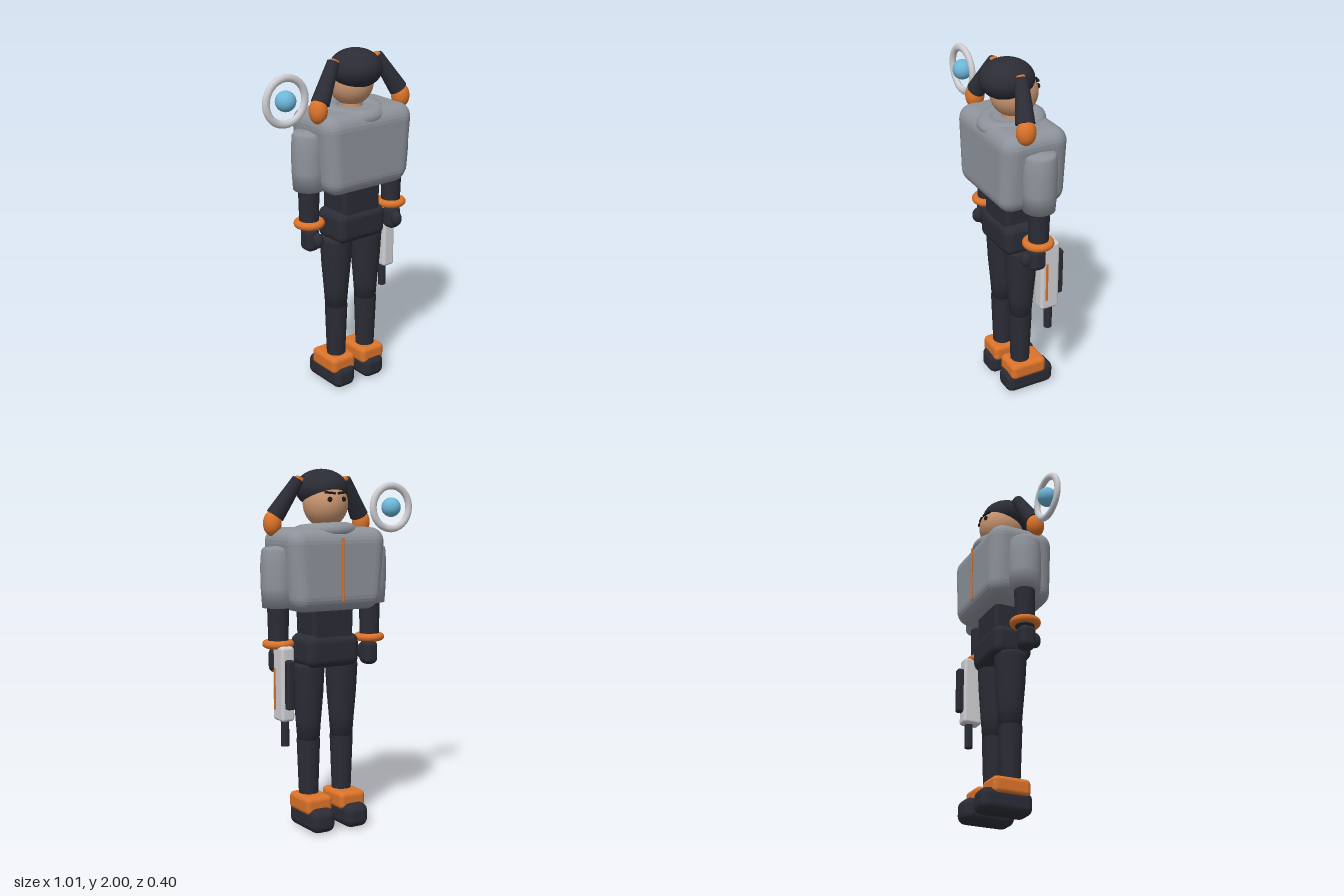
import * as THREE from 'three';
import { RoundedBoxGeometry } from 'three/addons/geometries/RoundedBoxGeometry.js';

const paint = (name, color) => {
  const m = new THREE.MeshStandardMaterial({ color });
  m.name = name;
  return m;
};

export function createModel() {
  const grey = paint('jacket grey', 0x8e939b);
  const dark = paint('dark cloth', 0x2b2c35);
  const orange = paint('orange', 0xdb732a);
  const skin = paint('skin', 0xc8946f);
  const white = paint('pale metal', 0xcfcfd3);
  const blue = paint('glow blue', 0x6cb6d9);
  const black = paint('face dark', 0x1a1a20);

  const model = new THREE.Group();
  model.name = 'figure';
  // the body stands off centre and faces -z
  const body = new THREE.Group();
  body.name = 'body';
  body.position.x = 0.115;
  model.add(body);

  const add = (name, geo, mat, x, y, z, parent = body) => {
    const mesh = new THREE.Mesh(geo, mat);
    mesh.name = name;
    mesh.position.set(x, y, z);
    parent.add(mesh);
    return mesh;
  };
  const box = (w, h, d, r) => new RoundedBoxGeometry(w, h, d, 4, r);
  const ball = (rx, ry, rz) => new THREE.SphereGeometry(1, 32, 20).scale(rx, ry, rz);
  const tube = (top, bottom, h) => new THREE.CylinderGeometry(top, bottom, h, 24);
  const lathe = (pts) => new THREE.LatheGeometry(pts.map(([r, y]) => new THREE.Vector2(r, y)), 28);
  const ring = (R, r) => new THREE.TorusGeometry(R, r, 14, 40);
  // narrow a geometry in x towards its bottom
  const taper = (geo, h, bottomScale) => {
    const p = geo.attributes.position;
    for (let i = 0; i < p.count; i++) {
      p.setX(i, p.getX(i) * THREE.MathUtils.lerp(bottomScale, 1, p.getY(i) / h + 0.5));
    }
    geo.computeVertexNormals();
    return geo;
  };

  // head and hair
  add('head', ball(0.122, 0.131, 0.132), skin, 0, 1.81, -0.008);
  add('hairCap', ball(0.144, 0.108, 0.15), dark, 0, 1.892, 0.035);
  add('neck', tube(0.06, 0.065, 0.12), skin, 0, 1.66, 0);

  // jacket with collar and zip
  add('jacket', taper(box(0.62, 0.452, 0.386, 0.085), 0.452, 0.87), grey, 0, 1.456, 0.004);
  const collar = add('collar', ring(0.125, 0.056).rotateX(Math.PI / 2).scale(1, 0.8, 1.04), grey, 0, 1.655, 0.008);
  collar.rotation.x = 0.1;
  add('zip', tube(0.006, 0.006, 0.34), orange, 0, 1.46, -0.196);

  // waist and hips
  add('waist', taper(box(0.275, 0.26, 0.205, 0.03), 0.26, 0.93), dark, 0, 1.18, 0.003);
  add('hips', box(0.335, 0.185, 0.235, 0.05), dark, 0, 1.005, 0.003);

  for (const s of [-1, 1]) {
    const side = new THREE.Group();
    side.name = s > 0 ? 'leftSide' : 'rightSide';
    body.add(side);
    const part = (name, geo, mat, x, y, z) => add(name, geo, mat, s * x, y, z, side);

    // eye and brow
    part('eye', ball(0.014, 0.014, 0.01), black, 0.043, 1.835, -0.129);
    part('brow', box(0.062, 0.013, 0.02, 0.005), black, 0.037, 1.87, -0.121).rotation.set(0, -s * 0.25, s * 0.1);

    // tied ponytail with coloured tip
    part('hairTie', box(0.042, 0.045, 0.042, 0.01), orange, 0.148, 1.935, 0.032).rotation.z = s * 0.5;
    const top = new THREE.Vector3(s * 0.148, 1.942, 0.03);
    const end = new THREE.Vector3(s * 0.27, 1.745, 0.075);
    const mid = top.clone().add(end).multiplyScalar(0.5);
    const tail = add('ponytail', tube(0.034, 0.052, top.distanceTo(end)), dark, mid.x, mid.y, mid.z, side);
    tail.quaternion.setFromUnitVectors(new THREE.Vector3(0, 1, 0), top.clone().sub(end).normalize());
    part('ponytailTip', ball(0.05, 0.07, 0.053), orange, 0.285, 1.705, 0.077);

    // arm
    part('sleeve', lathe([[0, -0.165], [0.087, -0.165], [0.094, -0.06], [0.096, 0.06], [0.09, 0.14], [0.08, 0.158], [0, 0.168]]),
      grey, 0.294, 1.42, 0);
    part('forearm', tube(0.06, 0.054, 0.24), dark, 0.295, 1.15, 0);
    part('bracelet', ring(0.065, 0.022).rotateX(Math.PI / 2), orange, 0.295, 1.055, 0.002);
    part('hand', box(0.088, 0.14, 0.1, 0.035), dark, 0.295, 0.965, 0.008);
    part('thumb', ball(0.03, 0.045, 0.035), dark, 0.285, 0.965, 0.065);

    // leg
    part('thigh', lathe([[0, -0.22], [0.062, -0.22], [0.071, -0.1], [0.084, 0.05], [0.092, 0.2], [0.09, 0.22], [0, 0.22]]),
      dark, 0.108, 0.712, 0.002);
    part('shin', tube(0.066, 0.054, 0.33), dark, 0.108, 0.34, 0.003);
    part('ankleCuff', box(0.165, 0.1, 0.222, 0.028), orange, 0.108, 0.146, -0.02);
    part('shoe', box(0.146, 0.134, 0.302, 0.045), dark, 0.108, 0.067, -0.039);
  }

  // hand weapon pointing down
  const blaster = new THREE.Group();
  blaster.name = 'blaster';
  blaster.position.set(0.41, 0, 0);
  model.add(blaster);
  add('blasterBody', box(0.08, 0.41, 0.112, 0.018), white, 0, 0.845, -0.058, blaster);
  add('blasterStripe', new THREE.BoxGeometry(0.009, 0.23, 0.012), orange, 0.04, 0.815, -0.034, blaster);
  add('magazine', box(0.045, 0.27, 0.05, 0.012), dark, 0, 0.845, -0.124, blaster);
  add('barrel', tube(0.023, 0.023, 0.16), dark, 0, 0.58, -0.068, blaster);

  // floating ring with an orb
  add('floatingRing', ring(0.123, 0.021).scale(1, 1, 0.82), white, -0.363, 1.786, 0.055, model);
  add('orb', ball(0.056, 0.056, 0.056), blue, -0.363, 1.786, 0.055, model);

  return model;
}
